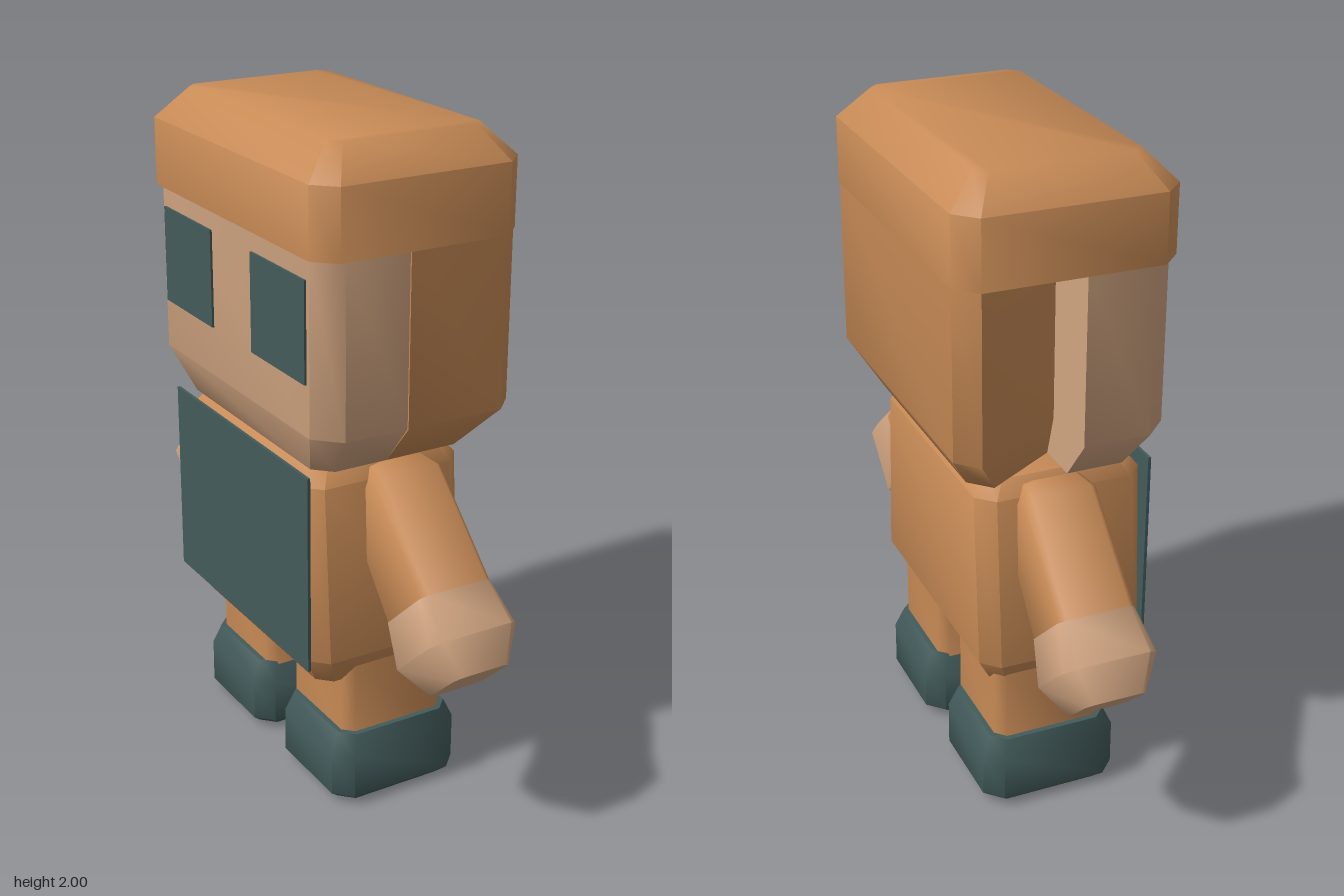
import * as THREE from 'three';
import { toCreasedNormals } from 'three/addons/utils/BufferGeometryUtils.js';

const material = (name, color) => {
  const m = new THREE.MeshStandardMaterial({ color });
  m.name = name;
  return m;
};

// Closed solid through rings [y, [[x, z], ...]] listed from bottom to top
function loft(rings) {
  const n = rings[0][1].length, pos = [], idx = [];
  for (const [y, pts] of rings) for (const [x, z] of pts) pos.push(x, y, z);
  for (let i = 0; i < rings.length - 1; i++) {
    for (let j = 0; j < n; j++) {
      const a = i * n + j, b = i * n + (j + 1) % n;
      idx.push(a, b, a + n, b, b + n, a + n);
    }
  }
  const top = (rings.length - 1) * n;
  for (let j = 1; j < n - 1; j++) {
    idx.push(0, j + 1, j);
    idx.push(top, top + j, top + j + 1);
  }
  const g = new THREE.BufferGeometry();
  g.setAttribute('position', new THREE.Float32BufferAttribute(pos, 3));
  g.setIndex(idx);
  return toCreasedNormals(g, 0.95);
}

// Rectangle with cut corners, centred on (cx, cz)
const octagon = (hx, hz, c, cx = 0, cz = 0) => [
  [hx, hz - c], [hx, c - hz], [hx - c, -hz], [c - hx, -hz],
  [-hx, c - hz], [-hx, hz - c], [c - hx, hz], [hx - c, hz],
].map(([x, z]) => [x + cx, z + cz]);

export function createModel() {
  const orange = material('orange cloth', 0xc88b56);
  const skin = material('skin', 0xd0a480);
  const teal = material('dark teal', 0x435b5b);

  const model = new THREE.Group();
  model.name = 'figure';
  const figure = new THREE.Group();
  figure.name = 'turnedFigure';
  figure.rotation.y = -0.07; // the figure looks along -x with a slight turn
  model.add(figure);

  const add = (name, geometry, mat, parent = figure) => {
    const mesh = new THREE.Mesh(geometry, mat);
    mesh.name = name;
    parent.add(mesh);
    return mesh;
  };

  // Head: cap on top, face block in front, hood behind
  const head = new THREE.Group();
  head.name = 'head';
  figure.add(head);
  add('cap', loft([
    [1.71, octagon(0.322, 0.514, 0.06)],
    [1.91, octagon(0.322, 0.514, 0.06)],
    [2.0, octagon(0.235, 0.425, 0.03)],
  ]), orange, head);

  const facePlan = (front, hz, c) => [
    [-0.04, hz], [-0.04, -hz], [front + c, -hz],
    [front, c - hz], [front, hz - c], [front + c, hz],
  ];
  add('face', loft([
    [1.08, facePlan(-0.26, 0.4, 0.05)],
    [1.21, facePlan(-0.31, 0.505, 0.07)],
    [1.715, facePlan(-0.31, 0.505, 0.07)],
  ]), skin, head);

  // The hood is hollowed toward the face on one side
  const hoodPlan = (back, hz, dent) => [
    [back, hz - 0.06], [back, 0.06 - hz], [back - 0.06, -hz],
    [-0.045, -dent], [-0.045, hz], [back - 0.06, hz],
  ];
  add('hood', loft([
    [1.08, hoodPlan(0.24, 0.4, 0.26)],
    [1.21, hoodPlan(0.32, 0.51, 0.3)],
    [1.715, hoodPlan(0.32, 0.51, 0.3)],
  ]), orange, head);

  for (const side of [1, -1]) {
    const eye = add(side > 0 ? 'rightEye' : 'leftEye',
      new THREE.BoxGeometry(0.009, 0.29, 0.3), teal, head);
    eye.position.set(-0.312, 1.505, side * 0.27);
  }

  // Body, flared toward the hem, with a flat front panel
  add('body', loft([
    [0.4, octagon(0.2, 0.37, 0.04, -0.035)],
    [0.5, octagon(0.255, 0.43, 0.05, -0.035)],
    [1.03, octagon(0.255, 0.395, 0.05, -0.035)],
    [1.08, octagon(0.215, 0.36, 0.04, -0.035)],
  ]), orange);
  add('frontPanel', new THREE.BoxGeometry(0.009, 0.6, 0.81), teal)
    .position.set(-0.296, 0.78, 0);

  for (const side of [1, -1]) {
    const label = side > 0 ? 'right' : 'left';

    // Leg and boot
    add(label + 'Leg', loft([
      [0.18, octagon(0.17, 0.165, 0.03, 0, side * 0.235)],
      [0.45, octagon(0.17, 0.165, 0.03, 0, side * 0.235)],
    ]), orange);
    add(label + 'Boot', loft([
      [0, octagon(0.18, 0.16, 0.04, 0, side * 0.245)],
      [0.03, octagon(0.212, 0.192, 0.05, 0, side * 0.245)],
      [0.17, octagon(0.212, 0.192, 0.05, 0, side * 0.245)],
      [0.23, octagon(0.185, 0.172, 0.04, 0, side * 0.245)],
    ]), teal);

    // Arm hanging outward, ending in a blunt hand
    const arm = new THREE.Group();
    arm.name = label + 'Arm';
    arm.position.set(0, 1.01, side * 0.34);
    arm.rotation.x = -side * 0.75;
    figure.add(arm);
    add(label + 'Sleeve', loft([
      [-0.4, octagon(0.115, 0.125, 0.02)],
      [-0.04, octagon(0.11, 0.115, 0.02)],
      [0.01, octagon(0.085, 0.09, 0.02)],
    ]), orange, arm);
    add(label + 'Hand', loft([
      [-0.63, octagon(0.09, 0.095, 0.02)],
      [-0.53, octagon(0.142, 0.135, 0.03)],
      [-0.395, octagon(0.116, 0.126, 0.02)],
    ]), skin, arm);
  }

  return model;
}
